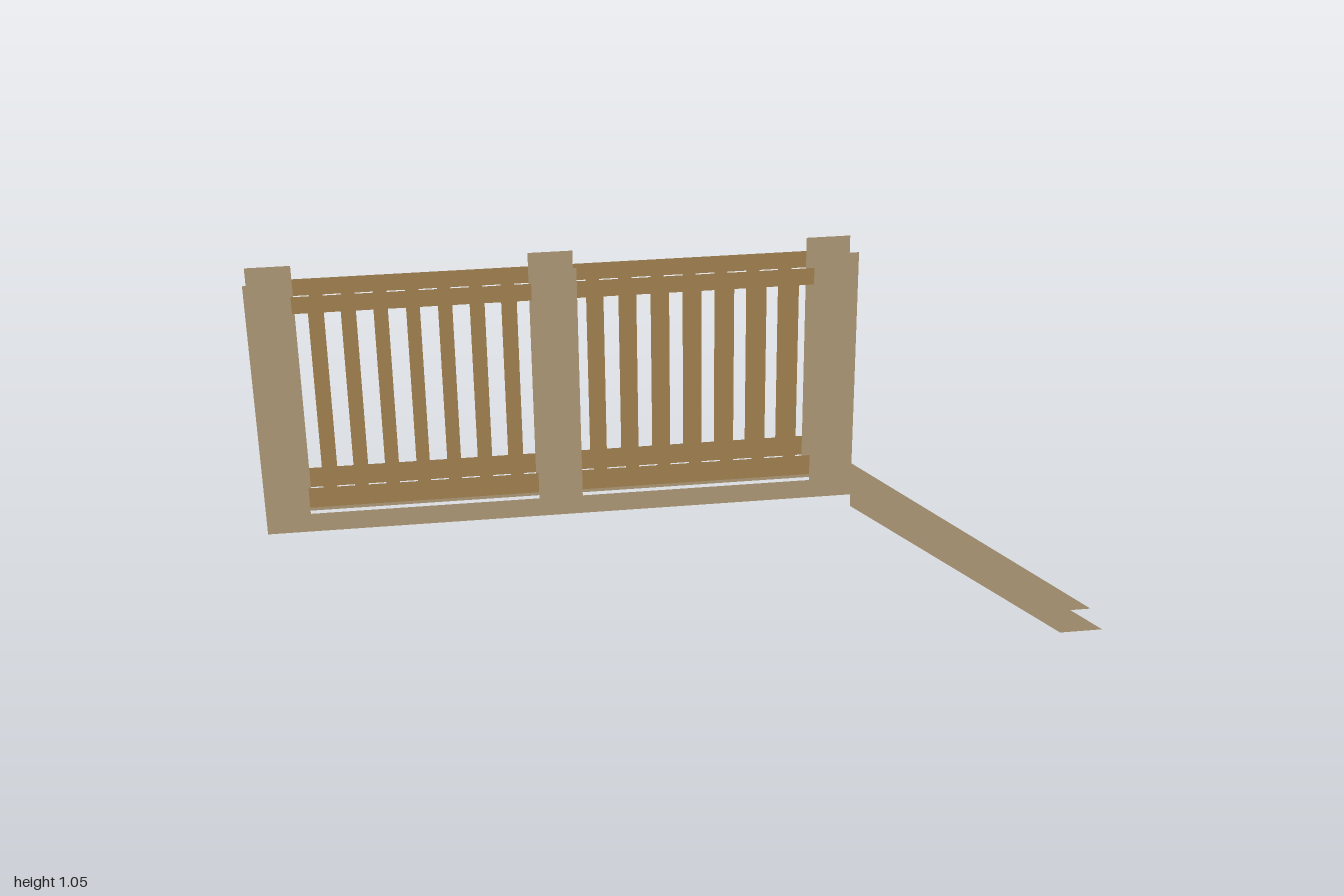
import * as THREE from 'three';

const paleWood = new THREE.MeshStandardMaterial({ color: 0xcdb58d, side: THREE.DoubleSide });
paleWood.name = 'paleWood';
const warmWood = new THREE.MeshStandardMaterial({ color: 0xc0985e, side: THREE.DoubleSide });
warmWood.name = 'warmWood';

// Flat upright board between two corners
function board(name, x0, x1, y0, y1, material) {
  const mesh = new THREE.Mesh(new THREE.PlaneGeometry(x1 - x0, y1 - y0), material);
  mesh.position.set((x0 + x1) / 2, (y0 + y1) / 2, 0);
  mesh.name = name;
  return mesh;
}

// One side: posts, edge beams, railing panels and sloping stringer
function createSide(name) {
  const side = new THREE.Group();
  side.name = name;
  const postWidth = 0.1;
  const posts = [-1, -0.38, 0.25];
  for (const x of posts) side.add(board('post', x, x + postWidth, 0.433, 1.048, paleWood));

  for (let i = 0; i < 2; i++) {
    const x0 = posts[i] + postWidth, x1 = posts[i + 1];
    side.add(board('edgeBeam', x0, x1, 0.433, 0.479, paleWood));
    side.add(board('bottomRail', x0, x1, 0.495, 0.545, warmWood));
    side.add(board('topRail', x0, x1, 0.976, 1.016, warmWood));
    const first = [-0.866, -0.252][i], pitch = [0.0705, 0.073][i];
    for (let k = 0; k < 7; k++) {
      const x = first + k * pitch;
      side.add(board('baluster', x, x + 0.03, 0.545, 0.976, warmWood));
    }
  }

  // Stringer from the last post down to the ground
  const outline = new THREE.Shape([[0.35, 0.478], [0.35, 0.402], [0.893, 0], [1, 0]]
    .map(([x, y]) => new THREE.Vector2(x, y)));
  const stringer = new THREE.Mesh(new THREE.ShapeGeometry(outline), paleWood);
  stringer.name = 'rampStringer';
  side.add(stringer);
  return side;
}

export function createModel() {
  const model = new THREE.Group();
  model.name = 'rampRailing';
  for (const [name, z] of [['frontSide', 0.049], ['backSide', -0.049]]) {
    const side = createSide(name);
    side.position.z = z;
    model.add(side);
  }
  return model;
}
